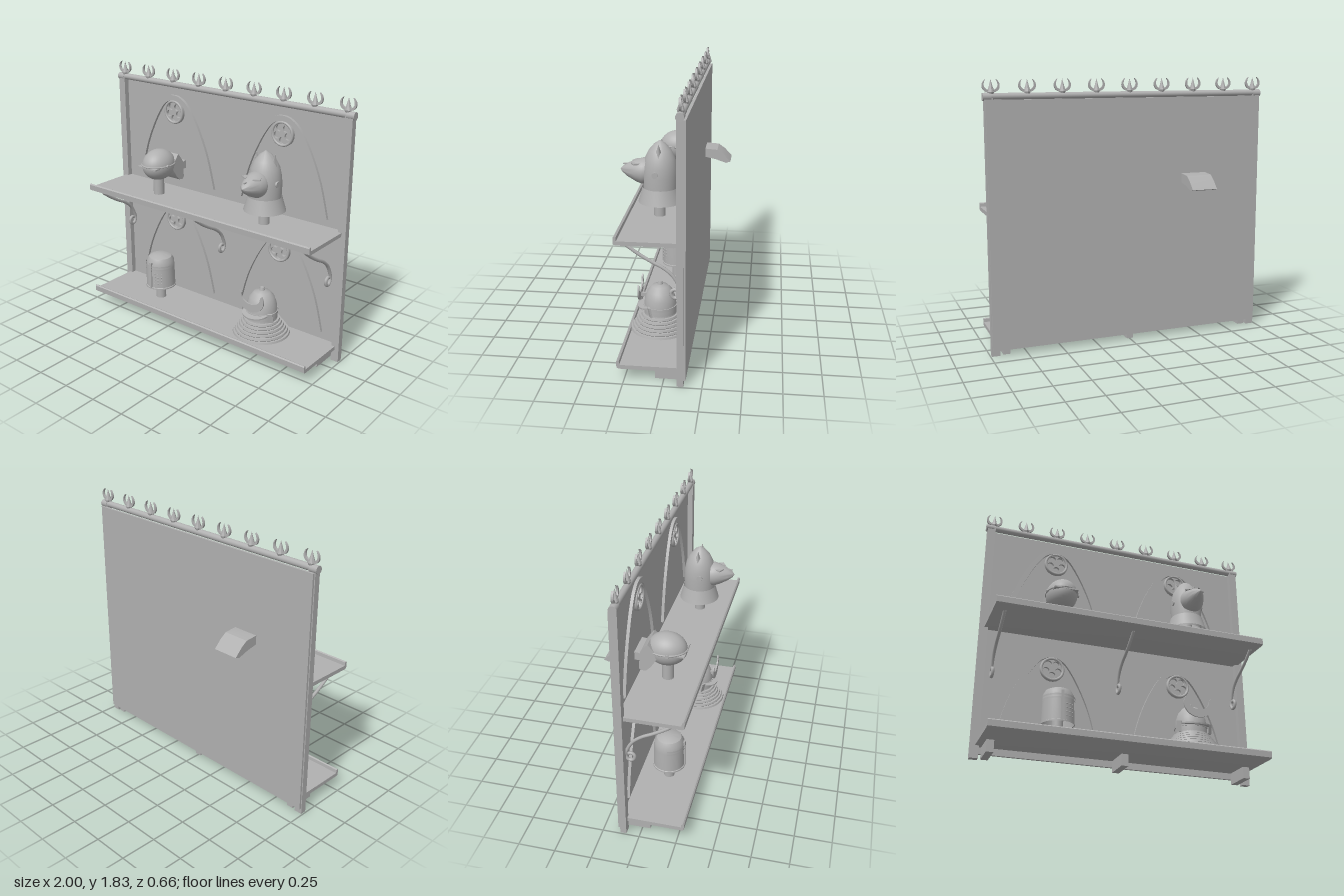
import * as THREE from 'three';
import { toCreasedNormals } from 'three/addons/utils/BufferGeometryUtils.js';

const steel = new THREE.MeshStandardMaterial({ color: 0xb0b0b0, side: THREE.DoubleSide });
steel.name = 'grey';

function add(parent, name, geo, x = 0, y = 0, z = 0) {
  const m = new THREE.Mesh(geo, steel);
  m.name = name;
  m.position.set(x, y, z);
  parent.add(m);
  return m;
}
function group(parent, name, x = 0, y = 0, z = 0) {
  const g = new THREE.Group();
  g.name = name;
  g.position.set(x, y, z);
  parent.add(g);
  return g;
}
const box = (w, h, d) => new THREE.BoxGeometry(w, h, d);
const cyl = (rt, rb, h, n = 24) => new THREE.CylinderGeometry(rt, rb, h, n);
const lathe = (pts, n = 32) =>
  toCreasedNormals(new THREE.LatheGeometry(pts.map(p => new THREE.Vector2(...p)), n), 0.6);
const shapeOf = pts => new THREE.Shape(pts.map(p => new THREE.Vector2(...p)));
const slab = (shape, depth) => {
  const g = new THREE.ExtrudeGeometry(shape, { depth, bevelEnabled: false, curveSegments: 20 });
  g.translate(0, 0, -depth / 2);
  return toCreasedNormals(g, 0.5);
};
// Profile given as [z, y], extruded along x
const alongX = (pts, width) => slab(shapeOf(pts), width).rotateY(-Math.PI / 2);
const tube = (pts, r, n = 40) => new THREE.TubeGeometry(
  new THREE.CatmullRomCurve3(pts.map(p => new THREE.Vector3(...p))), n, r, 8);

// Pointed finial with two curved horns
function finial(parent, x) {
  const g = group(parent, 'finial', x, 1.735, -0.112);
  add(g, 'spike', lathe([[0.018, 0], [0.024, 0.015], [0.012, 0.05], [0, 0.095]], 8));
  for (const s of [-1, 1]) {
    const horn = new THREE.Shape();
    horn.moveTo(0.012 * s, 0.01);
    horn.bezierCurveTo(0.065 * s, 0.015, 0.07 * s, 0.07, 0.034 * s, 0.094);
    horn.bezierCurveTo(0.052 * s, 0.065, 0.05 * s, 0.035, 0.012 * s, 0.024);
    add(g, 'finialHorn', slab(horn, 0.014));
  }
}

// Arch and rosette tracery
function tracery(parent, x, y) {
  const g = group(parent, 'tracery', x, y, -0.12);
  const outer = [[0.367, 0], [0.305, 0.235], [0.22, 0.435], [0.13, 0.575], [0.06, 0.628], [0, 0.64]];
  const inner = [[0.327, 0.01], [0.268, 0.23], [0.187, 0.415], [0.107, 0.545], [0.05, 0.592], [0, 0.603]];
  const smooth = half => new THREE.SplineCurve(
    [...half, ...half.slice(0, -1).reverse().map(([a, b]) => [-a, b])].map(p => new THREE.Vector2(...p))).getPoints(40);
  add(g, 'arch', slab(new THREE.Shape([...smooth(outer), ...smooth(inner).reverse()]), 0.025));
  const disc = new THREE.Shape().absarc(0, 0, 0.086, 0, Math.PI * 2, false);
  for (let i = 0; i < 5; i++) {
    const a = -Math.PI / 2 + i * Math.PI * 0.4;
    disc.holes.push(new THREE.Path().absarc(Math.cos(a) * 0.045, Math.sin(a) * 0.045, 0.0235, 0, Math.PI * 2, true));
  }
  add(g, 'rosette', slab(disc, 0.02), 0, 0.517, 0);
  add(g, 'rosetteRim', new THREE.TorusGeometry(0.078, 0.009, 8, 36), 0, 0.517, 0.01);
}

// Scrolled shelf bracket
function bracket(parent, x) {
  add(parent, 'bracket', tube([[0, 0.9, 0.23], [0, 0.842, 0.15], [0, 0.797, 0.075], [0, 0.76, 0.005],
    [0, 0.71, -0.055], [0, 0.65, -0.09], [0, 0.595, -0.105], [0, 0.562, -0.085], [0, 0.567, -0.055],
    [0, 0.6, -0.046], [0, 0.618, -0.07], [0, 0.61, -0.088]], 0.0115, 60), x);
}

// Round helmet with a curved neck guard
function roundHelmet(parent) {
  const g = group(parent, 'roundHelmet', -0.47, 0, 0);
  add(g, 'stand', cyl(0.039, 0.039, 0.15), 0, 1.01, 0.07);
  add(g, 'skull', new THREE.SphereGeometry(1, 32, 24), 0, 1.168, 0.065).scale.set(0.108, 0.112, 0.133);
  const band = add(g, 'browBand', new THREE.TorusGeometry(0.108, 0.006, 8, 40), 0, 1.175, 0.065);
  band.rotation.x = Math.PI / 2;
  band.scale.y = 1.22;
  add(g, 'peak', box(0.17, 0.01, 0.09), 0, 1.165, 0.152);
  for (const s of [-1, 1]) add(g, 'pivot', cyl(0.012, 0.012, 0.015, 12).rotateZ(Math.PI / 2), s * 0.11, 1.175, 0.09);
  add(g, 'neckGuard', alongX([[0.03, 1.15], [-0.04, 1.235], [-0.07, 1.2], [-0.09, 1.17], [-0.1, 1.05],
    [-0.085, 1.035], [-0.05, 1.04], [-0.02, 1.07]], 0.19));
  add(g, 'neckGuardTail', alongX([[-0.08, 1.16], [-0.14, 1.17], [-0.235, 1.162], [-0.28, 1.13], [-0.333, 1.075],
    [-0.3, 1.065], [-0.22, 1.092], [-0.14, 1.108], [-0.08, 1.11]], 0.184));
}

// Pointed helmet with a beaked visor and ears
function beakedHelmet(parent) {
  const g = group(parent, 'beakedHelmet', 0.47, 0, 0.073);
  add(g, 'stand', cyl(0.037, 0.037, 0.2), 0, 1.04, 0.005);
  add(g, 'skirt', lathe([[0.142, 1.045], [0.13, 1.085], [0.114, 1.142]]));
  add(g, 'skull', lathe([[0.107, 1.05], [0.109, 1.14], [0.112, 1.22], [0.108, 1.28], [0.096, 1.335],
    [0.072, 1.385], [0.038, 1.425], [0, 1.45]]));
  const beak = lathe([[0.084, 0], [0.086, 0.02], [0.072, 0.06], [0.045, 0.115], [0.02, 0.15], [0, 0.165]]);
  add(g, 'beak', beak, 0, 1.243, 0.092).rotation.x = Math.PI / 2 - 0.06;
  for (const s of [-1, 1]) {
    const ear = add(g, 'ear', new THREE.ConeGeometry(0.024, 0.09, 4), s * 0.07, 1.395, 0);
    ear.rotation.z = -s * 0.1;
    ear.scale.z = 1.1;
    add(g, 'visorHinge', cyl(0.02, 0.02, 0.016, 16).rotateZ(Math.PI / 2), s * 0.108, 1.245, 0.02);
    const slit = add(g, 'eyeRidge', box(0.05, 0.009, 0.05), s * 0.04, 1.3, 0.15);
    slit.rotation.y = s * 0.5;
  }
  add(g, 'beakRidge', box(0.012, 0.008, 0.045), 0, 1.287, 0.215);
}

// Flat-topped great helm with a cross
function greatHelm(parent) {
  const g = group(parent, 'greatHelm', -0.47, 0, 0.075);
  add(g, 'stand', cyl(0.037, 0.037, 0.2), 0, 0.21);
  add(g, 'shell', lathe([[0.114, 0.215], [0.114, 0.225], [0.109, 0.228], [0.105, 0.37], [0.102, 0.42],
    [0.085, 0.45], [0.05, 0.466], [0, 0.47]]));
  add(g, 'crossUpright', box(0.018, 0.2, 0.014), 0, 0.325, 0.108);
  const brow = (y, h) => add(g, 'sightRim',
    new THREE.CylinderGeometry(0.111, 0.111, h, 32, 1, true, -1.45, 2.9), 0, y, 0);
  brow(0.396, 0.012);
  brow(0.374, 0.012);
  for (let i = 0; i < 4; i++) for (let j = 0; j < 3; j++) {
    const a = 0.3 + j * 0.24;
    add(g, 'breath', new THREE.SphereGeometry(0.005, 8, 6), Math.sin(a) * 0.107, 0.262 + i * 0.026, Math.cos(a) * 0.107);
  }
}

// Domed helmet with crescent crest and tiered neck guard
function crestedHelmet(parent) {
  const g = group(parent, 'crestedHelmet', 0.47, 0, 0.08);
  add(g, 'stand', cyl(0.037, 0.037, 0.15), 0, 0.185);
  add(g, 'bowl', lathe([[0.108, 0.24], [0.11, 0.3], [0.103, 0.36], [0.085, 0.41], [0.055, 0.445], [0, 0.461]]));
  add(g, 'crownKnob', cyl(0.014, 0.02, 0.025, 16), 0, 0.464);
  const tiers = [];
  for (let i = 0; i < 6; i++) {
    const r = 0.2 - i * 0.0145, y = 0.14 + i * 0.0195;
    tiers.push([r, y], [r - 0.004, y + 0.014], [r - 0.018, y + 0.0145]);
  }
  tiers.push([0.108, 0.265]);
  add(g, 'tieredNeckGuard', lathe(tiers, 40));
  add(g, 'browBand', cyl(0.114, 0.114, 0.02, 32), 0, 0.305);
  const peak = new THREE.Shape();
  peak.moveTo(-0.1, 0);
  peak.quadraticCurveTo(-0.09, 0.075, 0, 0.085);
  peak.quadraticCurveTo(0.09, 0.075, 0.1, 0);
  add(g, 'peak', slab(peak, 0.01), 0, 0.312, 0.07).rotation.x = Math.PI / 2 + 0.18;
  for (const s of [-1, 1]) {
    const flap = add(g, 'sideFlap', box(0.035, 0.07, 0.012), s * 0.112, 0.295, 0.055);
    flap.rotation.set(0.2, s * 0.5, 0);
  }
  const crest = new THREE.Shape();
  crest.moveTo(-0.092, 0.482);
  crest.bezierCurveTo(-0.13, 0.43, -0.09, 0.345, 0, 0.345);
  crest.bezierCurveTo(0.09, 0.345, 0.13, 0.43, 0.092, 0.482);
  crest.lineTo(0.078, 0.465);
  crest.bezierCurveTo(0.08, 0.43, 0.05, 0.4, 0, 0.4);
  crest.bezierCurveTo(-0.05, 0.4, -0.08, 0.43, -0.078, 0.465);
  add(g, 'crescentCrest', slab(crest, 0.01), 0, 0, 0.133);
  add(g, 'crestMount', box(0.02, 0.025, 0.06), 0, 0.375, 0.108);
}

export function createModel() {
  const model = new THREE.Group();
  model.name = 'helmetDisplayRack';

  // Frame
  add(model, 'backPanel', box(1.97, 1.66, 0.018), 0, 0.87, -0.137);
  for (const s of [-1, 1]) add(model, 'post', box(0.056, 1.72, 0.042), s * 0.963, 0.86, -0.111);
  add(model, 'topRail', cyl(0.022, 0.022, 1.96).rotateZ(Math.PI / 2), 0, 1.72, -0.112);
  for (const s of [-1, 1]) add(model, 'railEnd', cyl(0.026, 0.026, 0.055).rotateZ(Math.PI / 2), s * 0.9725, 1.718, -0.112);
  for (let i = -4; i <= 4; i++) finial(model, i * 0.236);

  // Shelves with a front lip
  for (const y of [0.08, 0.915]) {
    add(model, 'shelf', alongX([[-0.128, 0.005], [0.28, 0.005], [0.294, 0.012], [0.296, 0.052], [0.288, 0.06],
      [0.278, 0.055], [0.276, 0.032], [-0.128, 0.032]], 1.92), 0, y, 0);
  }
  for (const x of [-0.89, 0, 0.89]) {
    add(model, 'foot', box(0.048, 0.08, 0.185), x, 0.045, -0.037);
    bracket(model, x);
  }
  for (const x of [-0.47, 0.47]) for (const y of [0.17, 1]) tracery(model, x, y);

  roundHelmet(model);
  beakedHelmet(model);
  greatHelm(model);
  crestedHelmet(model);
  return model;
}
